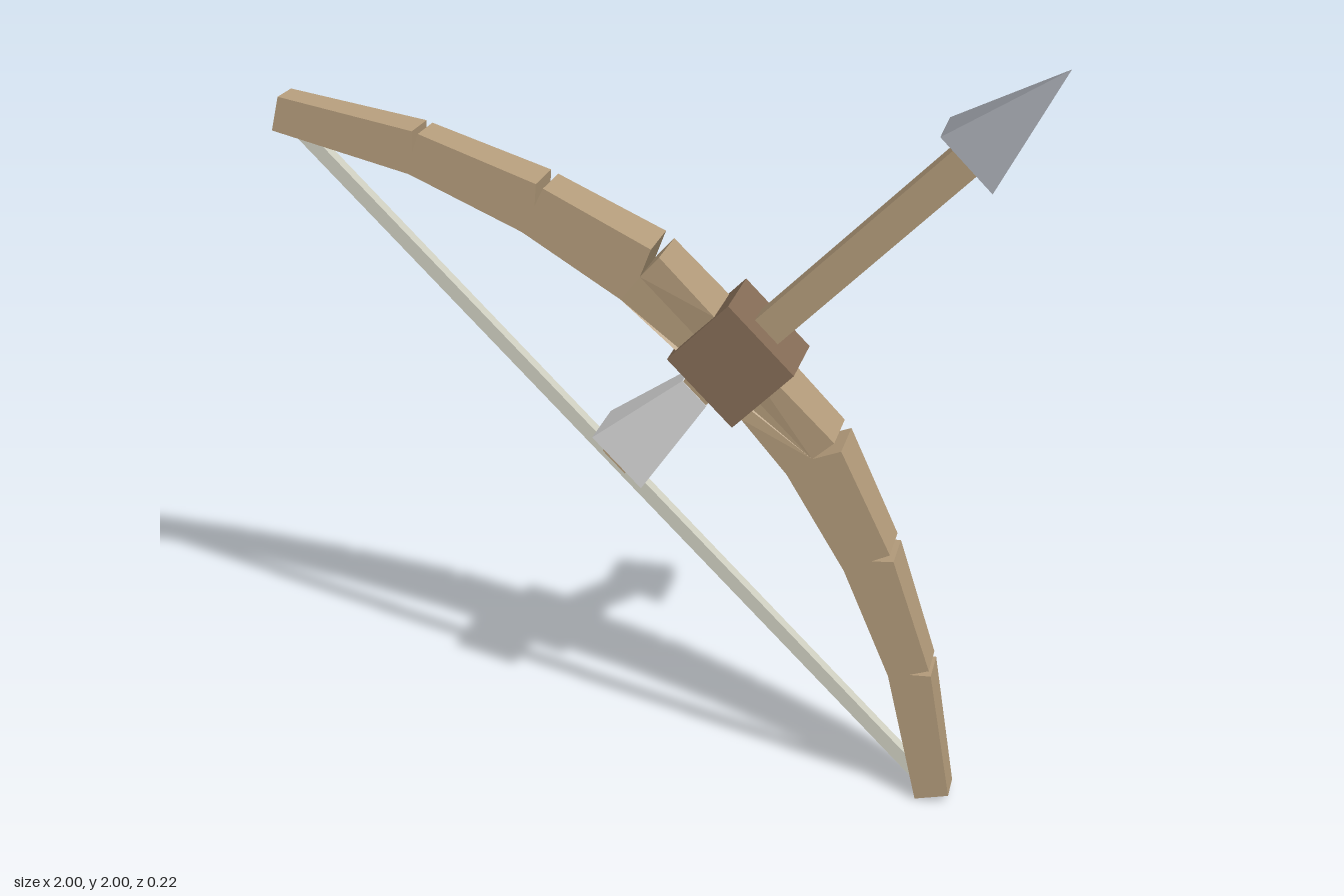
import * as THREE from 'three';

const material = (color) => new THREE.MeshStandardMaterial({ color, flatShading: true });

const wood = material(0xb59d7c);
const gripWood = material(0x866d57);
const steel = material(0x969aa1);
const feather = material(0xd6d6d3);
const cord = material(0xd2d2c4);

function addPart(parent, name, geometry, mat, y = 0) {
  const mesh = new THREE.Mesh(geometry, mat);
  mesh.name = name;
  mesh.position.y = y;
  parent.add(mesh);
  return mesh;
}

// Square frustum with sides parallel to the axes; sizes are half widths
function squareFrustum(top, bottom, height) {
  return new THREE.CylinderGeometry(top * Math.SQRT2, bottom * Math.SQRT2, height, 4)
    .rotateY(Math.PI / 4);
}

// Curved bow stave: notched outline, thinner in depth towards the tips
function staveGeometry() {
  // Half outline from the middle outwards along the back, then home along the belly
  const half = [
    [0.12, 0.365],
    [0.322, 0.364], [0.318, 0.29], [0.35, 0.362],
    [0.643, 0.258], [0.626, 0.209], [0.663, 0.252],
    [0.957, 0.106], [0.933, 0.057], [0.972, 0.099],
    [1.273, -0.113], [1.225, -0.191],
    [0.902, 0.011], [0.601, 0.134], [0.308, 0.209], [0.12, 0.226],
  ];
  const mirrored = half.map(([x, y]) => [-x, y]).reverse();
  const outline = [...half, ...mirrored].map(([x, y]) => new THREE.Vector2(x, y));
  const geometry = new THREE.ExtrudeGeometry(new THREE.Shape(outline), {
    depth: 2, bevelEnabled: false,
  });
  geometry.translate(0, 0, -1);
  const p = geometry.attributes.position;
  for (let i = 0; i < p.count; i++) {
    p.setZ(i, p.getZ(i) * (0.092 - 0.038 * Math.abs(p.getX(i))));
  }
  geometry.computeVertexNormals();
  return geometry;
}

export function createModel() {
  const model = new THREE.Group();
  model.name = 'bowAndArrow';

  // Built upright with the arrow along +y, then tilted
  const tilted = new THREE.Group();
  tilted.name = 'tiltedBow';
  tilted.position.y = 1;
  tilted.rotation.z = -Math.PI / 4;
  model.add(tilted);

  const bow = new THREE.Group();
  bow.name = 'bow';
  addPart(bow, 'stave', staveGeometry(), wood);
  addPart(bow, 'grip', new THREE.BoxGeometry(0.24, 0.22, 0.216), gripWood, 0.311);
  addPart(bow, 'string', new THREE.BoxGeometry(2.5, 0.036, 0.034), cord, -0.15);

  const arrow = new THREE.Group();
  arrow.name = 'arrow';
  addPart(arrow, 'shaft', new THREE.BoxGeometry(0.084, 1.26, 0.084), wood, 0.486);
  addPart(arrow, 'arrowhead', squareFrustum(0, 0.092, 0.314), steel, 1.257);
  addPart(arrow, 'fletching', squareFrustum(0.045, 0.092, 0.275), feather, 0.024);

  tilted.add(bow, arrow);
  return model;
}
